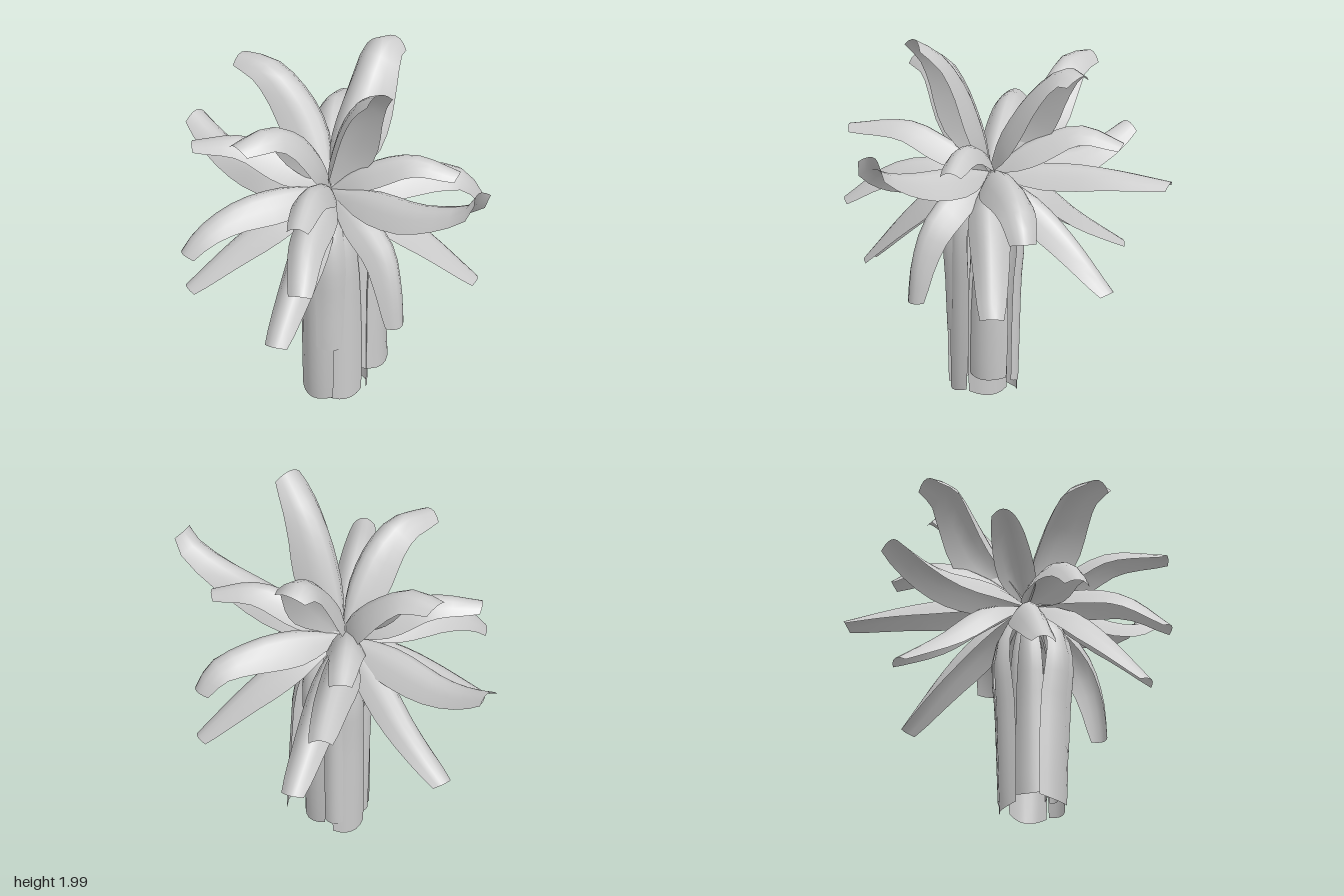
import * as THREE from 'three';

const leafGrey = new THREE.MeshStandardMaterial({ color: 0xcccccc, side: THREE.DoubleSide });
leafGrey.name = 'leafGrey';

// linear lookup in an evenly spaced list
function sample(list, t) {
  const f = t * (list.length - 1), i = Math.min(Math.floor(f), list.length - 2);
  return list[i] + (list[i + 1] - list[i]) * (f - i);
}

// Blade swept along a path; its cross-section arches away from the upper/outer side
function blade(points, width, profile, arches, dir) {
  const curve = new THREE.CatmullRomCurve3(points.map(p => new THREE.Vector3(...p)), false, 'centripetal');
  const first = points[0], last = points[points.length - 1];
  const [dx, dz] = dir || [last[0] - first[0], last[2] - first[2]];
  const side = new THREE.Vector3(-dz, 0, dx).normalize();
  const rows = 10, cols = 6, pos = [], index = [];
  for (let i = 0; i <= rows; i++) {
    const t = i / rows, p = curve.getPointAt(t), tan = curve.getTangentAt(t);
    const normal = new THREE.Vector3().crossVectors(side, tan).normalize();
    const w = width * sample(profile, t), arch = sample(arches, t);
    for (let j = 0; j <= cols; j++) {
      const u = (j / cols) * 2 - 1;
      const v = p.clone().addScaledVector(side, u * w / 2)
        .addScaledVector(normal, (0.4 - u * u) * arch * w);
      if (i === rows) v.addScaledVector(tan, -0.1 * w * u * u);
      pos.push(v.x, Math.max(v.y, 0), v.z);
      if (i < rows && j < cols) {
        const a = i * (cols + 1) + j, c = a + cols + 1;
        index.push(a, a + 1, c, a + 1, c + 1, c);
      }
    }
  }
  const g = new THREE.BufferGeometry();
  g.setAttribute('position', new THREE.Float32BufferAttribute(pos, 3));
  g.setIndex(index);
  g.computeVertexNormals();
  return g;
}

const heart = [0.02, 1.19, 0.01];
const leafProfile = [0.1, 0.55, 0.92, 1, 0.97, 0.9, 0.82, 0.73, 0.58];
const leafArch = [0.5, 0.55, 0.57, 0.55, 0.48, 0.38, 0.28];

// each entry: width, then path points after the heart of the plant
const leaves = {
  topLeaf: [
    [0.28, [0.02, 1.45, 0.13], [0.02, 1.7, 0.23], [0.02, 1.87, 0.34], [0.01, 1.98, 0.48]],
    [0.32, [0.2, 1.47, -0.06], [0.33, 1.67, -0.11], [0.43, 1.79, -0.16], [0.5, 1.83, -0.19], [0.58, 1.81, -0.21]],
    [0.28, [0.07, 1.44, -0.22], [0.04, 1.6, -0.36], [-0.02, 1.71, -0.5], [-0.08, 1.71, -0.67]],
    [0.26, [-0.14, 1.44, 0.05], [-0.26, 1.6, 0.06], [-0.4, 1.69, 0.06], [-0.62, 1.67, 0.06]],
  ],
  upperLeaf: [
    [0.21, [0.17, 1.34, -0.2], [0.31, 1.43, -0.37], [0.48, 1.37, -0.53]],
    [0.2, [0.17, 1.34, 0.18], [0.32, 1.43, 0.36], [0.48, 1.38, 0.54]],
    [0.21, [-0.16, 1.33, -0.16], [-0.32, 1.43, -0.31], [-0.53, 1.41, -0.48]],
    [0.2, [-0.16, 1.31, 0.17], [-0.32, 1.4, 0.31], [-0.55, 1.38, 0.53]],
  ],
  middleLeaf: [
    [0.25, [0.11, 1.23, 0.3], [0.18, 1.27, 0.58], [0.27, 1.35, 0.8], [0.31, 1.41, 0.9], [0.34, 1.5, 0.94]],
    [0.25, [-0.08, 1.16, -0.3], [-0.13, 1.14, -0.6], [-0.16, 1.18, -0.8], [-0.18, 1.25, -0.96]],
    [0.22, [0.22, 1.21, -0.22], [0.46, 1.22, -0.43], [0.73, 1.2, -0.67]],
    [0.25, [0.28, 1.22, 0.1], [0.5, 1.22, 0.17], [0.7, 1.16, 0.24], [0.79, 1.03, 0.27]],
    [0.24, [-0.25, 1.2, -0.05], [-0.5, 1.17, -0.11], [-0.69, 1.08, -0.15], [-0.79, 0.97, -0.17]],
    [0.22, [-0.18, 1.2, 0.18], [-0.38, 1.15, 0.36], [-0.55, 0.98, 0.55]],
  ],
  lowLeaf: [
    [0.22, [0.06, 1.11, 0.24], [0.09, 0.98, 0.41], [0.09, 0.8, 0.49], [0.09, 0.57, 0.53]],
    [0.22, [0.2, 1.09, 0.13], [0.42, 0.9, 0.25], [0.68, 0.61, 0.4]],
    [0.22, [0.2, 1.07, -0.1], [0.42, 0.88, -0.22], [0.66, 0.63, -0.34]],
    [0.21, [0.01, 1.07, -0.25], [0.01, 0.87, -0.5], [0, 0.67, -0.81]],
    [0.22, [-0.18, 1.07, -0.1], [-0.4, 0.9, -0.2], [-0.67, 0.66, -0.31]],
    [0.22, [-0.17, 1.09, 0.13], [-0.36, 0.9, 0.25], [-0.6, 0.61, 0.39]],
  ],
};

// old leaves hanging as the trunk: width, foot point, facing direction, spread at the top
const stripProfile = [0.2, 0.55, 0.85, 0.95, 1, 1, 0.95];
const stripArch = [0.3, 0.25, 0.2];
const strips = [
  [0.26, [0.22, 0.13, 0.17], [0.4, 1], 0.85],
  [0.17, [-0.09, 0.33, 0.19], [-0.4, 1], 1.1],
  [0.09, [0.03, 0.11, 0.2], [0, 1], 0.9],
  [0.22, [-0.14, 0.02, 0.1], [-1, 0.25], 1.2],
  [0.22, [-0.02, 0.02, 0.2], [-0.2, 1], 0.95],
  [0.22, [0.16, 0.02, 0.1], [1, 0.2], 1.15],
  [0.2, [0.06, 0, -0.1], [0.1, -1], 1.2],
  [0.16, [-0.09, 0.05, -0.04], [-0.7, -0.8], 1.2],
  [0.1, [0.15, 0.07, -0.07], [0.8, -0.6], 1.2],
  [0.12, [0.01, 0.35, -0.03], [-0.6, -0.8], 1.1],
];

export function createModel() {
  const plant = new THREE.Group();
  plant.name = 'plant';
  const add = (name, geometry) => {
    const mesh = new THREE.Mesh(geometry, leafGrey);
    mesh.name = name;
    plant.add(mesh);
  };

  // crown
  for (const [name, list] of Object.entries(leaves))
    for (const [width, ...path] of list) add(name, blade([heart, ...path], width, leafProfile, leafArch));

  // trunk
  for (const [width, [x, y, z], dir, spread] of strips) {
    const at = (k, h) => [0.03 + (x - 0.03) * k, h, 0.04 + (z - 0.04) * k];
    const path = [at(0.1, 1.17), at(0.7 * spread, 1.08), at(spread, 0.9), at((1 + spread) / 2, 0.6), [x, y, z]];
    add('trunkStrip', blade(path, width, stripProfile, stripArch, dir));
  }
  return plant;
}
